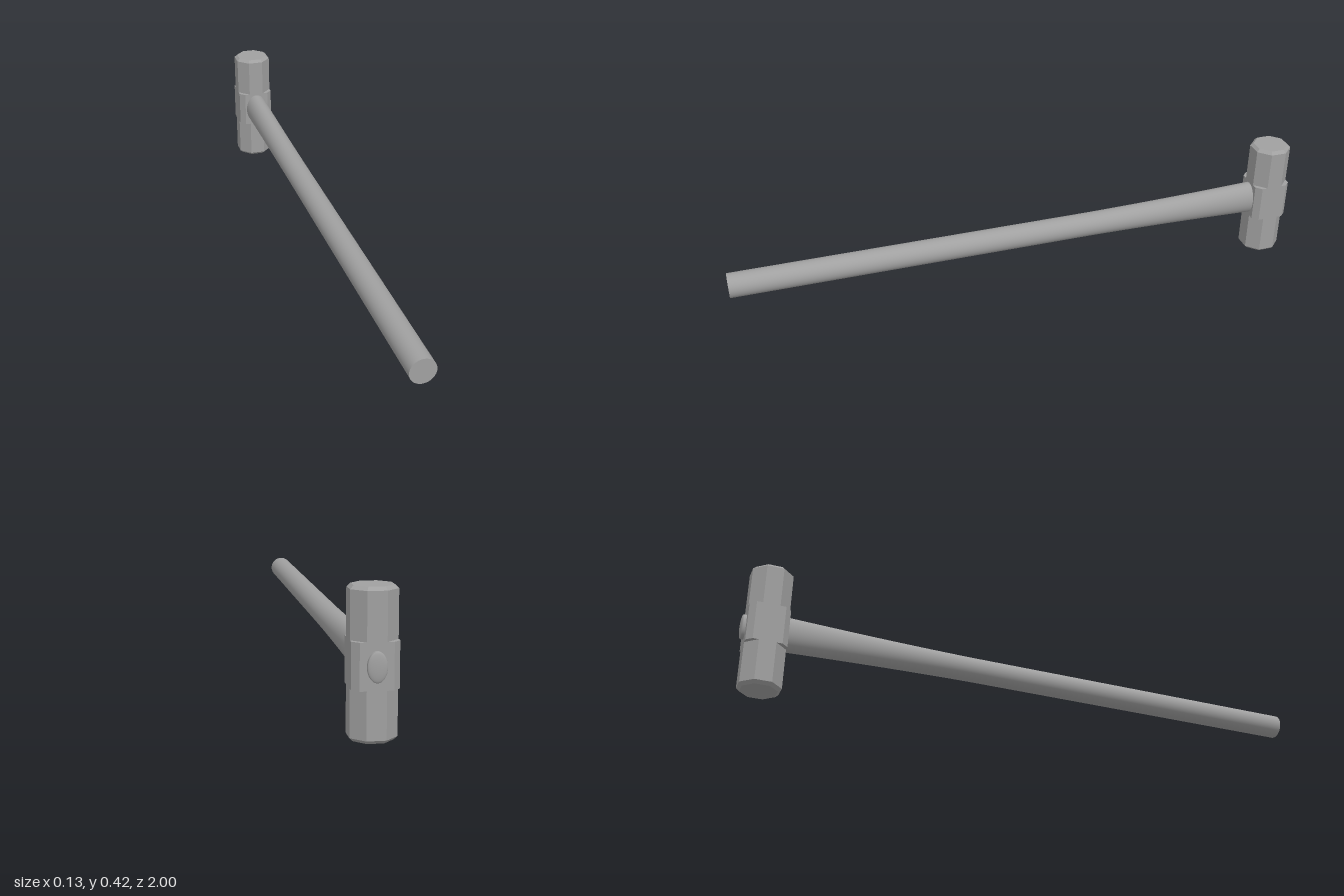
import * as THREE from 'three';

const HEAD_Z = -0.92, MID_Y = 0.2085, R = 0.065;

// Square of half width r with corners cut so each flat has half length s
function chamferedSquare(r, s) {
  return [[s, r], [r, s], [r, -s], [s, -r], [-s, -r], [-r, -s], [-r, s], [-s, r]];
}

// Faceted prism through stacked eight-sided rings [y, r, s], closed at both ends
function loft(rings) {
  const pos = [];
  const loops = rings.map(([y, r, s]) => chamferedSquare(r, s).map(([x, z]) => [x, y, z]));
  const n = 8;
  for (let k = 0; k < loops.length - 1; k++) {
    for (let i = 0; i < n; i++) {
      const j = (i + 1) % n;
      const a = loops[k][i], b = loops[k][j], c = loops[k + 1][j], d = loops[k + 1][i];
      pos.push(...a, ...b, ...c, ...a, ...c, ...d);
    }
  }
  const bottom = loops[0], top = loops[loops.length - 1];
  for (let i = 1; i < n - 1; i++) {
    pos.push(...bottom[0], ...bottom[i + 1], ...bottom[i]);
    pos.push(...top[0], ...top[i], ...top[i + 1]);
  }
  const g = new THREE.BufferGeometry();
  g.setAttribute('position', new THREE.Float32BufferAttribute(pos, 3));
  g.computeVertexNormals();
  return g;
}

export function createModel() {
  const grey = new THREE.MeshStandardMaterial({ color: 0xa0a0a0 });
  grey.name = 'grey';
  const model = new THREE.Group();
  model.name = 'sledgehammer';

  const add = (parent, name, geometry) => {
    const mesh = new THREE.Mesh(geometry, grey);
    mesh.name = name;
    parent.add(mesh);
    return mesh;
  };

  // Head: two octagonal ends around a squarer middle block
  const head = new THREE.Group();
  head.name = 'head';
  head.position.z = HEAD_Z;
  model.add(head);
  add(head, 'lowerFace', loft([[0, 0.055, 0.0228], [0.01, R, 0.027], [0.144, R, 0.027]]));
  add(head, 'upperFace', loft([[0.273, R, 0.027], [0.407, R, 0.027], [0.417, 0.055, 0.0228]]));
  add(head, 'middleBlock', loft([[0.144, R, 0.046], [0.273, R, 0.046]]));

  // Handle: round shaft that flares into a tall oval at the head
  const zFront = 1, zBack = -0.9;
  const shaft = new THREE.CylinderGeometry(0.041, 0.041, zFront - zBack, 64, 40);
  shaft.rotateX(Math.PI / 2);
  shaft.translate(0, 0, (zFront + zBack) / 2);
  const p = shaft.attributes.position;
  for (let i = 0; i < p.count; i++) {
    const t = Math.min(1, Math.max(0, (-0.2 - p.getZ(i)) / 0.655));
    p.setY(i, p.getY(i) * (1 + 0.43 * Math.pow(t, 1.6)));
  }
  shaft.computeVertexNormals();
  add(model, 'handle', shaft).position.y = MID_Y;

  // Slightly domed oval handle end showing behind the head
  const rim = new THREE.CylinderGeometry(1, 1, 0.03, 48, 1, true);
  rim.rotateX(Math.PI / 2);
  rim.scale(0.027, 0.042, 1);
  add(model, 'handleEndRim', rim).position.set(0, MID_Y, -0.978);

  const dome = new THREE.SphereGeometry(1, 48, 8, 0, Math.PI * 2, 0, Math.PI / 2);
  dome.rotateX(-Math.PI / 2);
  dome.scale(0.027, 0.042, 0.007);
  add(model, 'handleEndDome', dome).position.set(0, MID_Y, -0.993);

  return model;
}
